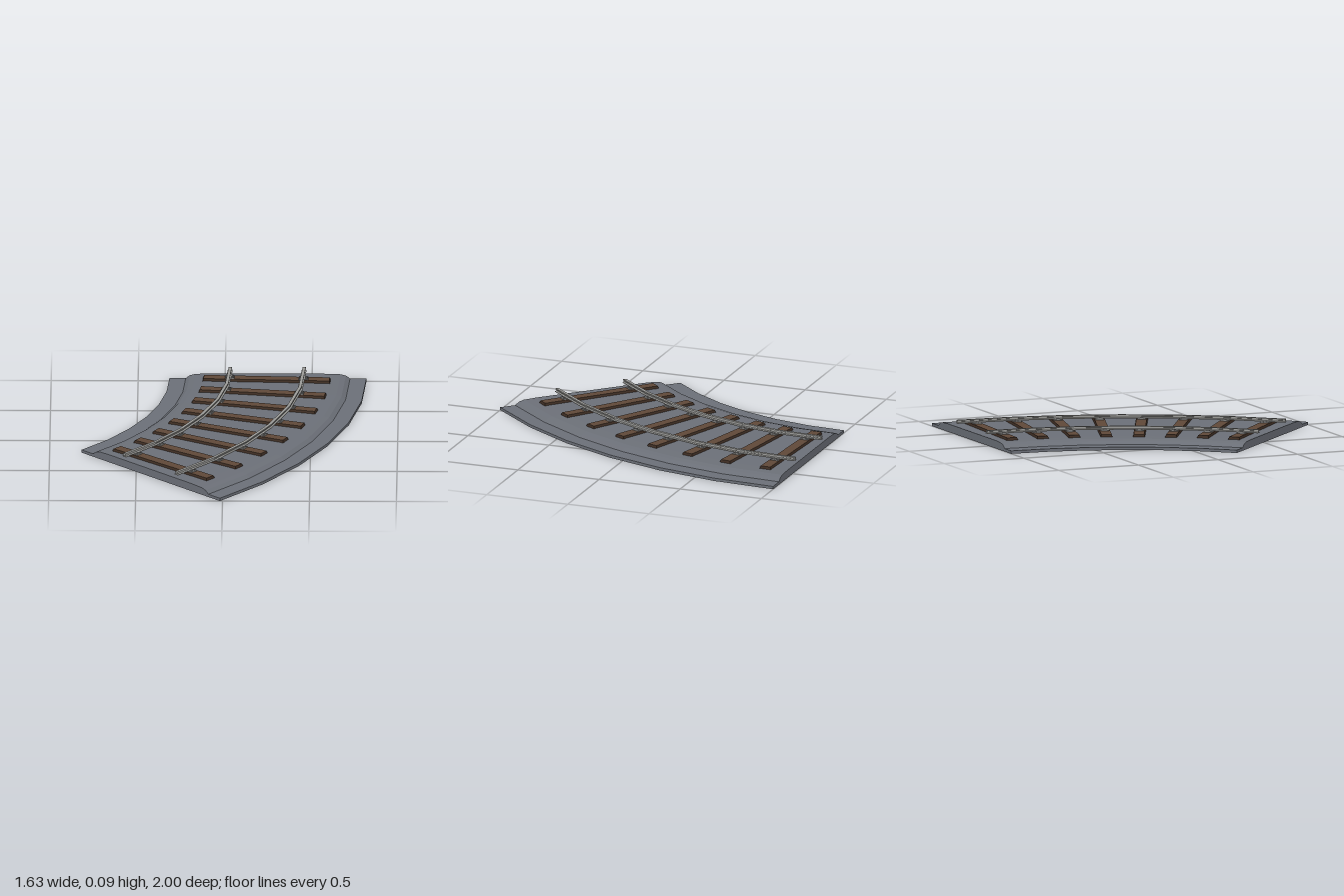
import * as THREE from 'three';

const CENTER_X = -2.015, CENTER_Z = -1; // centre of the curve
const ARC = Math.PI / 4, STEPS = 6, SLEEPERS = 8;
const MID_R = 2.2575;

const paint = (name, color) => {
  const m = new THREE.MeshStandardMaterial({ color });
  m.name = name;
  return m;
};

// Sweeps a closed (radius, height) profile around the curve in straight facets
function sweep(points, name, material) {
  const shape = new THREE.Shape(points.map(([r, y]) => new THREE.Vector2(r, y)));
  const geo = new THREE.ExtrudeGeometry(shape, { depth: 1, steps: STEPS, bevelEnabled: false });
  const p = geo.attributes.position;
  for (let i = 0; i < p.count; i++) {
    const r = p.getX(i), a = p.getZ(i) * ARC;
    p.setXYZ(i, CENTER_X + r * Math.cos(a), p.getY(i), CENTER_Z + r * Math.sin(a));
  }
  geo.computeVertexNormals();
  const mesh = new THREE.Mesh(geo, material);
  mesh.name = name;
  return mesh;
}

// Box standing on y = 0 whose top face is drawn in by an inset
function taperedBox(w, h, d, inset) {
  const geo = new THREE.BoxGeometry(w, h, d).translate(0, h / 2, 0);
  const p = geo.attributes.position;
  for (let i = 0; i < p.count; i++) {
    if (p.getY(i) < h / 2) continue;
    p.setX(i, p.getX(i) - Math.sign(p.getX(i)) * inset);
    p.setZ(i, p.getZ(i) - Math.sign(p.getZ(i)) * inset);
  }
  geo.computeVertexNormals();
  return geo;
}

export function createModel() {
  const gravel = paint('gravel grey', 0x6b6f77);
  const wood = paint('sleeper brown', 0x5f4838);
  const darkWood = paint('sleeper edge brown', 0x3c2c22);
  const steel = paint('rail steel', 0x9a9a97);
  const iron = paint('plate iron', 0x70706f);

  const track = new THREE.Group();
  track.name = 'curvedTrack';

  // Ground slab with the raised ballast bed
  track.add(sweep([
    [1.695, 0], [2.828, 0], [2.828, 0.017], [2.734, 0.017], [2.71, 0.035], [2.68, 0.043],
    [2.6, 0.046], [1.92, 0.046], [1.845, 0.043], [1.813, 0.035], [1.789, 0.017], [1.695, 0.017],
  ], 'ballastBed', gravel));

  // Rails with foot, web and head
  const railRadii = [2.045, 2.47];
  const half = [[0.014, 0.066], [0.014, 0.069], [0.004, 0.072], [0.004, 0.077], [0.009, 0.079], [0.009, 0.086]];
  railRadii.forEach((r, i) => {
    const outer = half.map(([x, y]) => [r + x, y]);
    const inner = half.map(([x, y]) => [r - x, y]).reverse();
    track.add(sweep([...outer, ...inner], i ? 'outerRail' : 'innerRail', steel));
  });

  // Sleepers, each with a plate and two clips under each rail
  const sleeperGeo = taperedBox(0.738, 0.022, 0.074, 0.007);
  const plateGeo = taperedBox(0.056, 0.007, 0.05, 0.003);
  const clipGeo = taperedBox(0.012, 0.007, 0.022, 0.002);
  const sides = [darkWood, darkWood, wood, darkWood, darkWood, darkWood];
  for (let i = 0; i < SLEEPERS; i++) {
    const a = ((i + 0.5) / SLEEPERS) * ARC;
    const unit = new THREE.Group();
    unit.name = 'sleeperUnit';
    unit.position.set(CENTER_X + MID_R * Math.cos(a), 0, CENTER_Z + MID_R * Math.sin(a));
    unit.rotation.y = -a;
    const add = (geo, mat, name, x, y) => {
      const mesh = new THREE.Mesh(geo, mat);
      mesh.name = name;
      mesh.position.set(x, y, 0);
      unit.add(mesh);
    };
    add(sleeperGeo, sides, 'sleeper', 0, 0.038);
    for (const r of railRadii) {
      add(plateGeo, iron, 'railPlate', r - MID_R, 0.0595);
      for (const s of [-1, 1]) add(clipGeo, iron, 'railClip', r - MID_R + s * 0.018, 0.0655);
    }
    track.add(unit);
  }
  return track;
}
